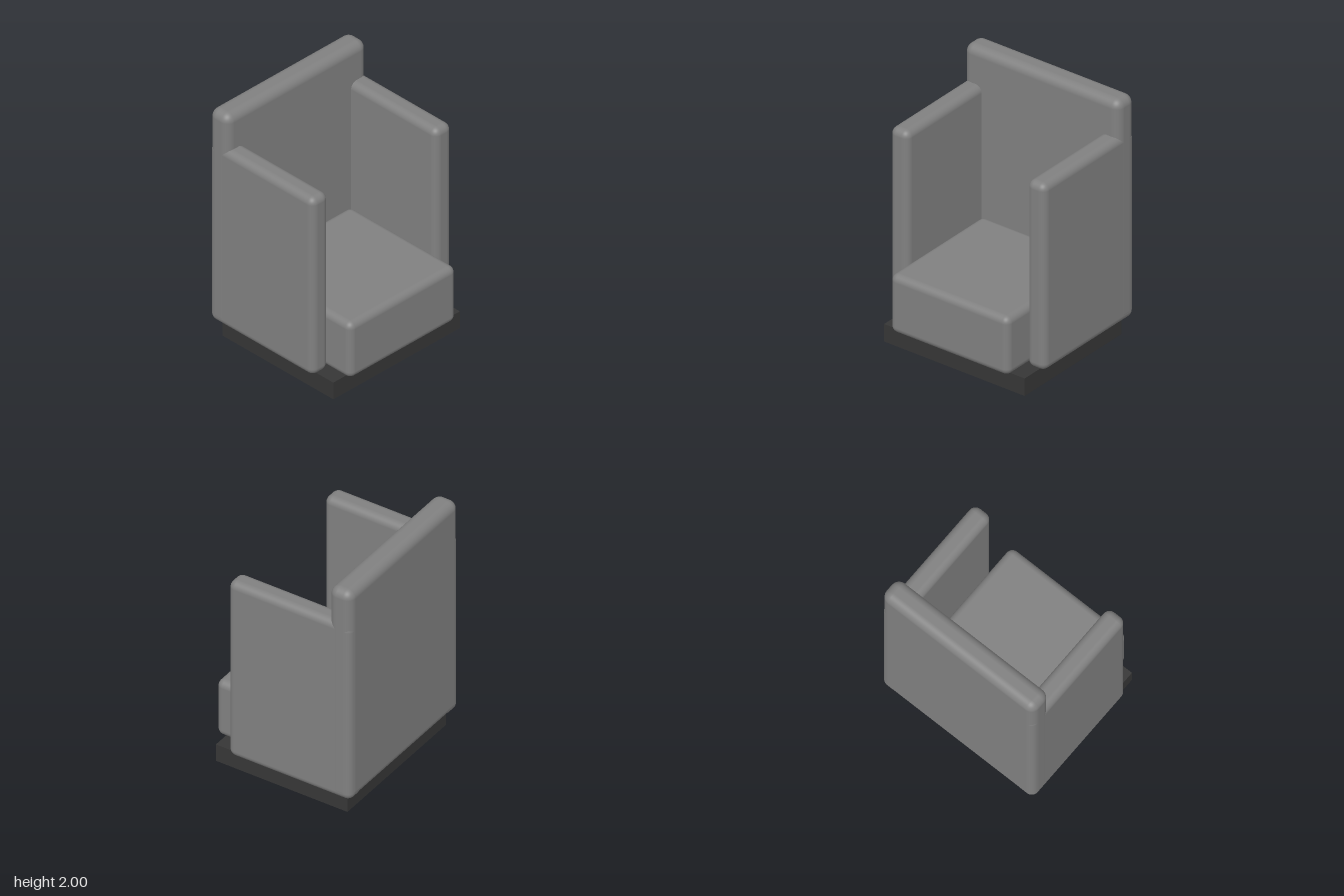
import * as THREE from 'three';
import { RoundedBoxGeometry } from 'three/addons/geometries/RoundedBoxGeometry.js';

export function createModel() {
  const group = new THREE.Group();
  const fabric = new THREE.MeshStandardMaterial({ color: 0x808080 });
  fabric.name = 'grey fabric';
  const plinth = new THREE.MeshStandardMaterial({ color: 0x363636 });
  plinth.name = 'dark plinth';

  // Box spanning two corners, with rounded edges when a radius is given
  function block(name, material, min, max, radius = 0) {
    const size = max.map((v, i) => v - min[i]);
    const geometry = radius
      ? new RoundedBoxGeometry(...size, 5, radius)
      : new THREE.BoxGeometry(...size);
    const mesh = new THREE.Mesh(geometry, material);
    mesh.name = name;
    mesh.position.set(...min.map((v, i) => (v + max[i]) / 2));
    group.add(mesh);
  }

  // Plinth base
  block('base', plinth, [-0.643, 0, -0.57], [0.643, 0.146, 0.57]);

  // Upholstered seat and tall back
  block('seatCushion', fabric, [-0.542, 0.146, -0.452], [0.542, 0.63, 0.64], 0.055);
  block('backrest', fabric, [-0.712, 0.146, -0.642], [0.712, 2, -0.446], 0.07);

  // Armrests run the full depth, into the back
  block('leftArmrest', fabric, [0.542, 0.146, -0.64], [0.711, 1.7, 0.425], 0.058);
  block('rightArmrest', fabric, [-0.711, 0.146, -0.64], [-0.542, 1.7, 0.425], 0.058);

  return group;
}
